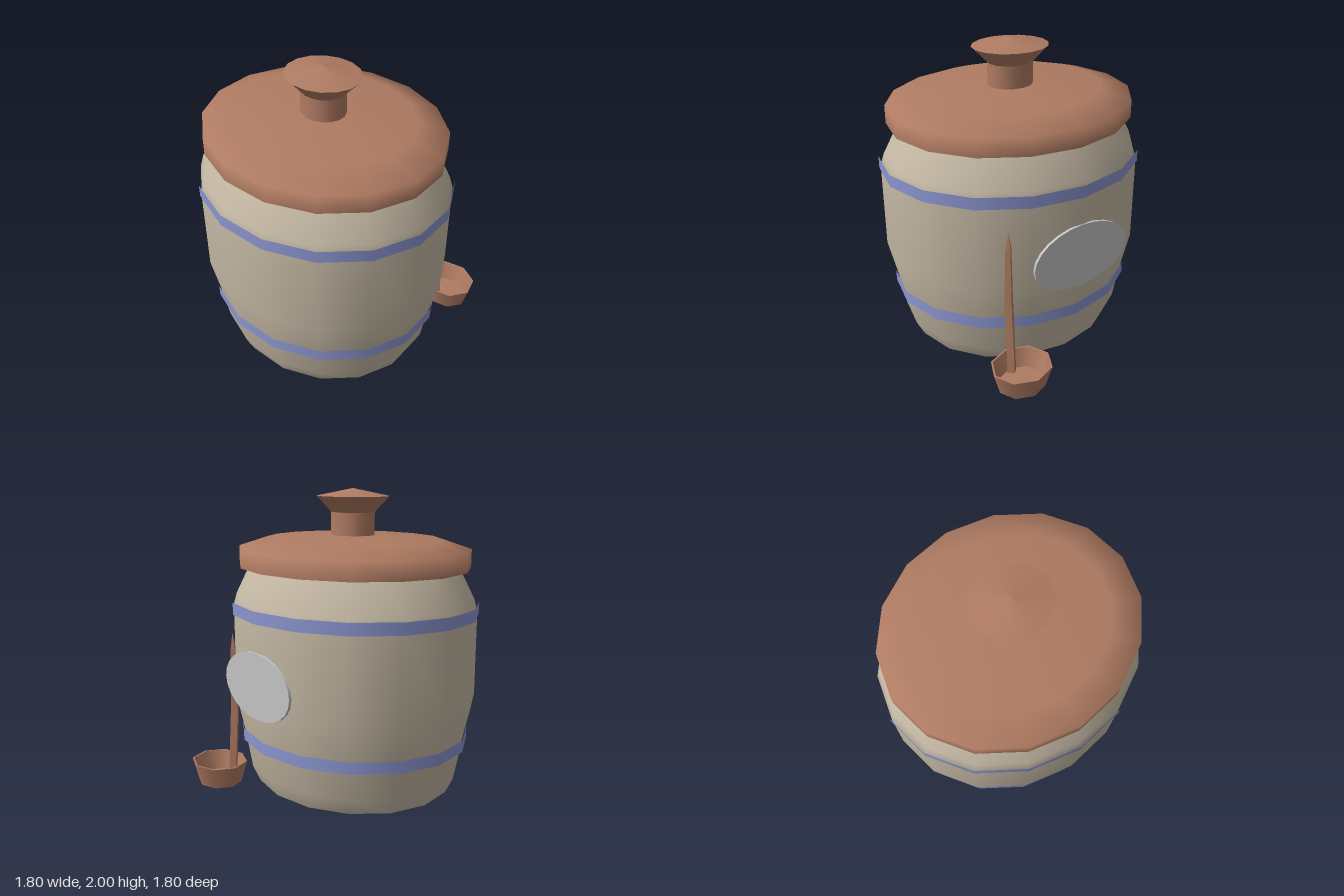
import * as THREE from 'three';

const mat = (name, color, side = THREE.FrontSide) => {
  const m = new THREE.MeshStandardMaterial({ color, side });
  m.name = name;
  return m;
};

export function createModel() {
  const stoneware = mat('stoneware', 0xc4b8a4);
  const terracotta = mat('terracotta', 0xaf7b62);
  const blue = mat('blue glaze', 0x8b95d0);
  const plate = mat('label grey', 0xc4c4c4);

  const root = new THREE.Group();
  root.name = 'barrelWithLadle';

  // Adds a lathed part; each profile is smooth and the joins between profiles are sharp
  const turned = (parent, name, material, sides, ...profiles) => {
    const group = new THREE.Group();
    group.name = name;
    profiles.forEach((profile, i) => {
      const points = profile.map(([r, y]) => new THREE.Vector2(r, y));
      const mesh = new THREE.Mesh(new THREE.LatheGeometry(points, sides), material);
      mesh.name = `${name}Surface${i + 1}`;
      group.add(mesh);
    });
    parent.add(group);
    return group;
  };

  // Jar: round parts share a slightly oval plan
  const jar = new THREE.Group();
  jar.name = 'jar';
  jar.position.z = 0.095;
  jar.scale.z = 0.89;
  root.add(jar);

  turned(jar, 'body', stoneware, 16,
    [[0, 0], [0.73, 0]],
    [[0.73, 0], [0.785, 0.11], [0.83, 0.36], [0.89, 0.62], [0.89, 1.2],
      [0.865, 1.28], [0.78, 1.44], [0.72, 1.52]]);

  // Glazed hoops
  for (const [name, r, y] of [['lowerBand', 0.845, 0.31], ['upperBand', 0.9, 1.185]]) {
    turned(jar, name, blue, 16, [[r, y], [r, y + 0.08]]);
  }

  // Lid with underside
  turned(jar, 'lid', terracotta, 16,
    [[0, 1.49], [0.835, 1.49]],
    [[0.835, 1.49], [0.835, 1.61], [0.63, 1.673], [0.15, 1.695]]);

  // Flared knob
  turned(jar, 'knob', terracotta, 16,
    [[0.155, 1.68], [0.155, 1.845]],
    [[0.155, 1.845], [0.26, 1.95]],
    [[0.26, 1.95], [0, 2]]);

  // Oval plate on the back
  const label = new THREE.Mesh(new THREE.CylinderGeometry(1, 1, 1, 24), plate);
  label.name = 'backLabel';
  label.rotation.x = Math.PI / 2;
  label.scale.set(0.362, 0.018, 0.22);
  label.position.set(0, 0.78, -0.694);
  root.add(label);

  // Ladle leaning on the back
  const ladle = new THREE.Group();
  ladle.name = 'ladle';
  root.add(ladle);
  const bowl = turned(ladle, 'ladleBowl', terracotta, 8,
    [[0, 0], [0.163, 0]],
    [[0.163, 0], [0.207, 0.15]],
    [[0.207, 0.15], [0.193, 0.15]],
    [[0.193, 0.15], [0.15, 0.025]],
    [[0.15, 0.025], [0, 0.025]]);
  bowl.position.set(0.468, 0, -0.717);
  bowl.scale.z = 0.89;

  // Handle: diamond sections [y, z, half width] swept up to a point
  const sections = [[0.02, -0.61, 0.033], [0.15, -0.602, 0.033], [0.5, -0.578, 0.034],
    [0.92, -0.577, 0.022], [1.03, -0.58, 0.001]];
  const position = [];
  const index = [];
  sections.forEach(([y, z, w], i) => {
    position.push(0.47, y, z + w, 0.47 + w, y, z, 0.47, y, z - w, 0.47 - w, y, z);
    for (let k = 0; i > 0 && k < 4; k++) {
      const a = (i - 1) * 4 + k;
      const b = (i - 1) * 4 + (k + 1) % 4;
      index.push(a, b, b + 4, a, b + 4, a + 4);
    }
  });
  let handleGeometry = new THREE.BufferGeometry();
  handleGeometry.setAttribute('position', new THREE.Float32BufferAttribute(position, 3));
  handleGeometry.setIndex(index);
  handleGeometry = handleGeometry.toNonIndexed();
  handleGeometry.computeVertexNormals();
  const handle = new THREE.Mesh(handleGeometry, terracotta);
  handle.name = 'ladleHandle';
  ladle.add(handle);

  return root;
}
